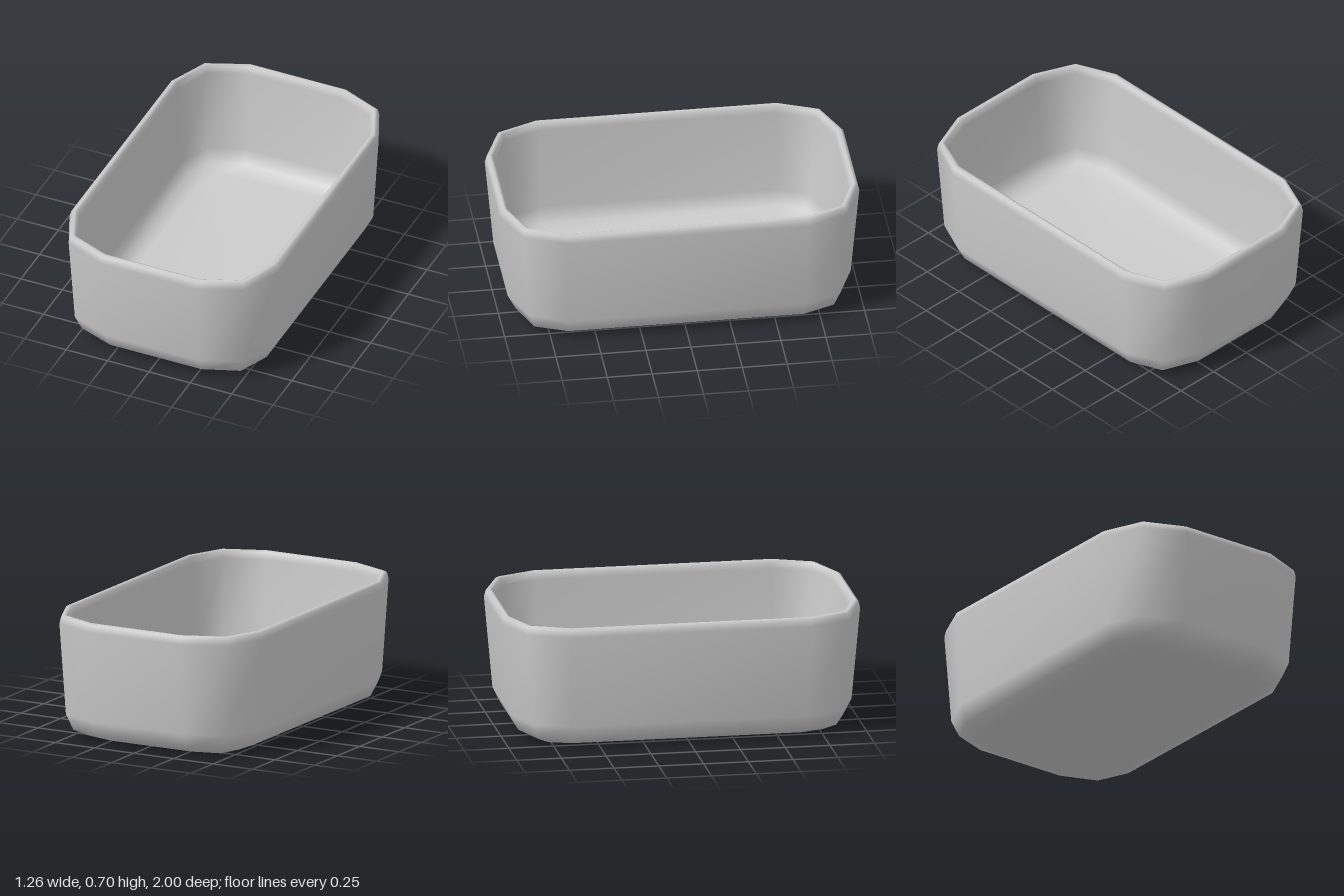
import * as THREE from 'three';

// Chamfered-rectangle outline (12 corners) with half width a and half depth b
function outline(a, b) {
  const d = 0.63 - a; // how far this ring sits inside the widest one
  const sx = 0.29 - 0.2 * d, sz = 0.67 - 0.2 * d; // ends of the straight sides
  const mx = a - 0.1 + 0.33 * d, mz = b - 0.1 + 0.33 * d; // middle of each corner
  const quarter = [[a, sz], [mx, mz], [sx, b]];
  const flipped = quarter.slice().reverse();
  return [
    ...quarter,
    ...flipped.map(([x, z]) => [-x, z]),
    ...quarter.map(([x, z]) => [-x, -z]),
    ...flipped.map(([x, z]) => [x, -z]),
  ];
}

// Joins rings [halfWidth, halfDepth, y] into one skin, closed at both ends
function loft(rings) {
  const n = 12, pos = [], idx = [];
  for (const [a, b, y] of rings) for (const [x, z] of outline(a, b)) pos.push(x, y, z);
  for (let r = 0; r < rings.length - 1; r++) {
    for (let i = 0; i < n; i++) {
      const p = r * n + i, q = r * n + (i + 1) % n;
      idx.push(p, p + n, q, q, p + n, q + n);
    }
  }
  const last = (rings.length - 1) * n, under = rings.length * n, inside = under + 1;
  pos.push(0, rings[0][2], 0, 0, rings[rings.length - 1][2], 0);
  for (let i = 0; i < n; i++) {
    const j = (i + 1) % n;
    idx.push(under, i, j, inside, last + j, last + i);
  }
  const g = new THREE.BufferGeometry();
  g.setAttribute('position', new THREE.Float32BufferAttribute(pos, 3));
  g.setIndex(idx);
  g.computeVertexNormals();
  return g;
}

export function createModel() {
  const group = new THREE.Group();
  group.name = 'tub';
  const material = new THREE.MeshStandardMaterial({ color: 0xcccccc });

  const shell = new THREE.Mesh(loft([
    // underside and outer wall
    [0.46, 0.81, 0],
    [0.555, 0.908, 0.04],
    [0.6, 0.953, 0.13],
    [0.63, 1.0, 0.65],
    // rounded rim
    [0.62, 0.99, 0.687],
    [0.602, 0.972, 0.697],
    [0.585, 0.955, 0.687],
    [0.576, 0.946, 0.65],
    // inner wall and floor
    [0.55, 0.905, 0.17],
    [0.52, 0.87, 0.09],
    [0.44, 0.79, 0.055],
  ]), material);
  shell.name = 'shell';
  group.add(shell);
  return group;
}
